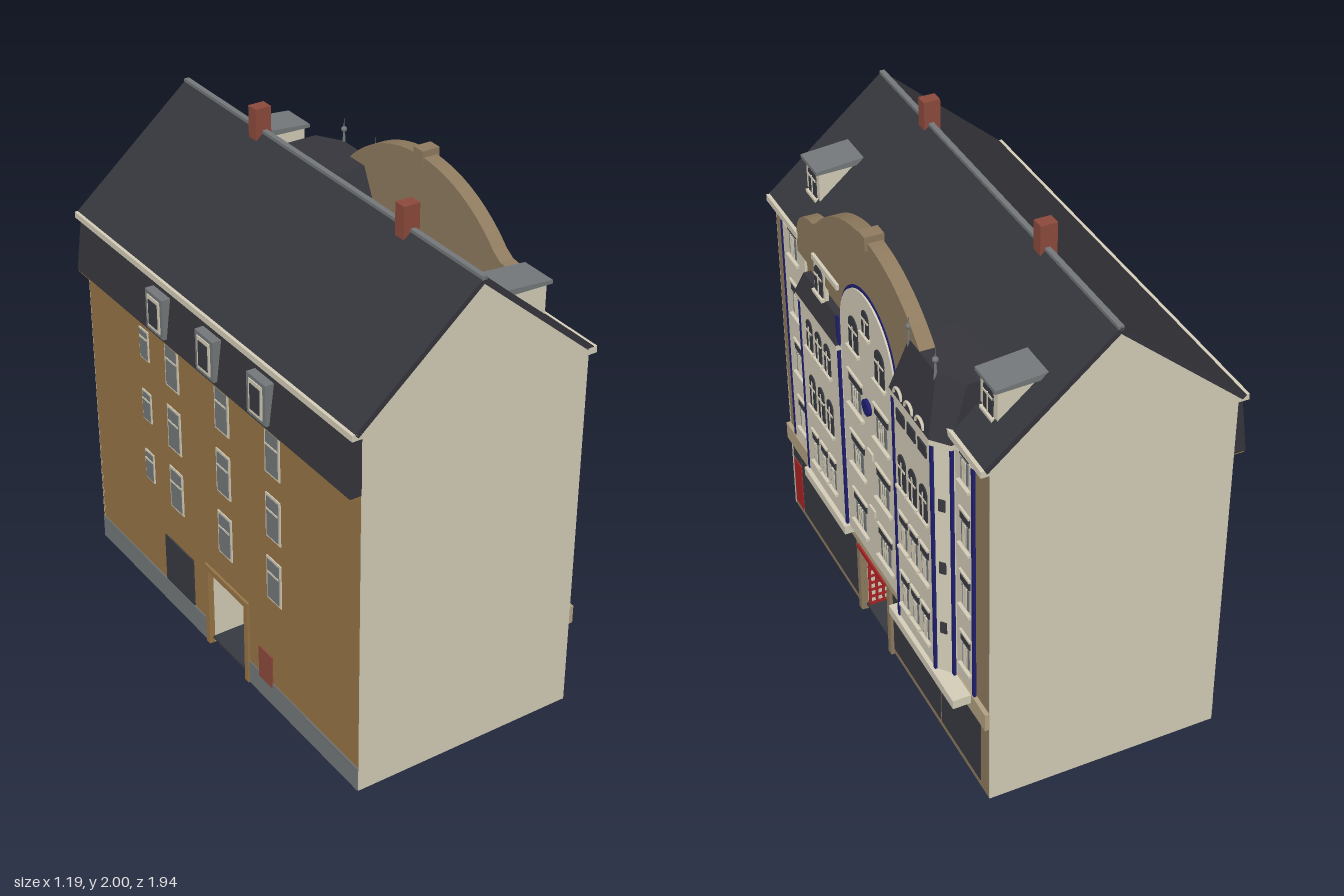
import * as THREE from 'three';

const mat = (name, color, side = THREE.FrontSide) => {
  const m = new THREE.MeshStandardMaterial({ color, side });
  m.name = name;
  return m;
};

export function createModel() {
  const cream = mat('cream plaster', 0xd4cdb8), stone = mat('brown stone', 0x8f7b5f);
  const tan = mat('tan band', 0xb3a181), ochre = mat('ochre render', 0x977545);
  const slate = mat('slate', 0x35353c, THREE.DoubleSide), glass = mat('dark glass', 0x383a41);
  const grey = mat('grey metal', 0x74787a), blue = mat('blue trim', 0x1f1f70);
  const red = mat('red paint', 0xa82225), brick = mat('chimney brick', 0x8c4a3c);

  // Local frame: street front faces +z, x runs along the street
  const house = new THREE.Group();
  house.name = 'house';
  let target = house;
  const add = (name, geo, m) => {
    const mesh = new THREE.Mesh(geo, m);
    mesh.name = name;
    target.add(mesh);
    return mesh;
  };
  const box = (name, m, x0, x1, y0, y1, z0, z1) =>
    add(name, new THREE.BoxGeometry(x1 - x0, y1 - y0, z1 - z0)
      .translate((x0 + x1) / 2, (y0 + y1) / 2, (z0 + z1) / 2), m);
  const shapeOf = pts => new THREE.Shape(pts.map(p => new THREE.Vector2(p[0], p[1])));
  const slab = (name, m, shape, z0, z1) =>
    add(name, new THREE.ExtrudeGeometry(shape, { depth: z1 - z0, bevelEnabled: false, curveSegments: 16 })
      .translate(0, 0, z0), m);
  // Profile given as (z, y), swept along x
  const sweep = (name, m, pts, x0, x1) =>
    add(name, new THREE.ExtrudeGeometry(shapeOf(pts), { depth: x1 - x0, bevelEnabled: false })
      .rotateY(-Math.PI / 2).translate(x1, 0, 0), m);
  // Plan given as (x, z), raised along y
  const plan = (name, m, pts, y0, y1) =>
    add(name, new THREE.ExtrudeGeometry(shapeOf(pts.map(p => [p[0], -p[1]])), { depth: y1 - y0, bevelEnabled: false })
      .rotateX(-Math.PI / 2).translate(0, y0, 0), m);
  // Faceted roof between two plan loops
  const loft = (name, m, low, y0, high, y1) => {
    const a = low.map(p => [p[0], y0, p[1]]), b = high.map(p => [p[0], y1, p[1]]), v = [];
    a.forEach((p, i) => {
      const j = (i + 1) % a.length;
      v.push(...p, ...a[j], ...b[j], ...p, ...b[j], ...b[i]);
      if (i > 1) v.push(...b[0], ...b[i - 1], ...b[i]);
    });
    const g = new THREE.BufferGeometry();
    g.setAttribute('position', new THREE.Float32BufferAttribute(v, 3));
    g.computeVertexNormals();
    add(name, g, m);
  };
  const arch = (x, hw, y0, spring) => {
    const s = new THREE.Shape();
    s.moveTo(x - hw, y0);
    s.lineTo(x + hw, y0);
    s.lineTo(x + hw, spring);
    s.absarc(x, spring, hw, 0, Math.PI, false);
    return s;
  };
  const inGroup = (name, fn) => {
    const g = new THREE.Group(), old = target;
    g.name = name;
    old.add(g);
    target = g;
    fn();
    target = old;
    return g;
  };

  // Walls with the gateway cut through
  const G0 = -0.185, G1 = 0.07, GT = 0.34;
  const wallShape = top => shapeOf([[-0.925, 0], [G0, 0], [G0, GT], [G1, GT], [G1, 0], [0.925, 0], [0.925, top], [-0.925, top]]);
  slab('frontWall', stone, wallShape(1.49), 0.422, 0.435);
  slab('backWall', ochre, wallShape(1.49), -0.48, -0.467);
  const gable = [[-0.48, 0], [0.435, 0], [0.435, 1.49], [-0.02, 1.89], [-0.48, 1.49]];
  sweep('endWall', cream, gable, -0.928, -0.915);
  sweep('endWall', cream, gable, 0.915, 0.928);

  // Passage
  box('passageWall', cream, G0 - 0.01, G0, 0, GT, -0.467, 0.422);
  box('passageWall', cream, G1, G1 + 0.01, 0, GT, -0.467, 0.422);
  box('passageCeiling', cream, G0, G1, GT, GT + 0.01, -0.467, 0.422);
  box('passageFloor', glass, G0, G1, 0.02, 0.03, -0.475, 0.43);
  box('passageDoor', glass, G0, G0 + 0.005, 0.03, 0.25, 0.0, 0.14);
  box('passageHatch', glass, G1 + 0.01, G1 + 0.015, 0.12, 0.22, 0.05, 0.17);
  for (const x of [G0 + 0.012, G1 - 0.018]) inGroup('gateLeaf', () => {
    for (let i = 0; i < 6; i++) box('gateBar', red, x, x + 0.006, 0.03, 0.32, 0.275 + i * 0.028, 0.285 + i * 0.028);
    for (let j = 0; j < 9; j++) box('gateRail', red, x, x + 0.006, 0.03 + j * 0.035, 0.04 + j * 0.035, 0.275, 0.425);
  });
  box('gateLintel', red, G0, G1, 0.328, 0.346, 0.42, 0.46);

  // Shop fronts
  for (const [a, b] of [[-0.815, -0.24], [0.1, 0.52], [0.532, 0.86]]) box('shopWindow', glass, a, b, 0.03, 0.338, 0.432, 0.438);
  box('shopDoor', red, -0.9, -0.825, 0.03, 0.252, 0.432, 0.439);
  box('doorLight', glass, -0.9, -0.825, 0.262, 0.336, 0.432, 0.438);
  for (const x of [G0 - 0.03, G1]) box('gatePier', stone, x, x + 0.028, 0, 0.345, 0.43, 0.45);
  box('streetBand', tan, -0.927, 0.927, 0.345, 0.42, 0.43, 0.452);

  // Roof
  sweep('mainRoof', slate, [[-0.51, 1.49], [-0.02, 1.91], [0.455, 1.505], [0.445, 1.485], [-0.02, 1.885], [-0.495, 1.475]], -0.93, 0.93);
  box('ridgeCap', grey, -0.93, 0.93, 1.898, 1.914, -0.03, -0.01);
  sweep('rearMansard', slate, [[-0.48, 1.48], [-0.495, 1.48], [-0.525, 1.25], [-0.48, 1.25]], -0.928, 0.928);
  box('rearSoffit', ochre, -0.925, 0.925, 1.243, 1.25, -0.522, -0.48);
  box('rearCornice', cream, -0.93, 0.93, 1.468, 1.492, -0.52, -0.48);
  for (const x of [-0.514, 0.4]) box('chimney', brick, x - 0.025, x + 0.025, 1.86, 2, -0.057, 0.007);

  // Windows: square ones have a transom over a barred pane, arched ones are dark
  const squareWindow = (x, y, w, h, z) => inGroup('window', () => {
    box('transom', glass, x - w / 2, x + w / 2, y + h - 0.034, y + h, z, z + 0.005);
    box('pane', grey, x - w * 0.38, x + w * 0.38, y + 0.01, y + h - 0.045, z, z + 0.003);
    for (const k of [-0.16, 0, 0.16]) box('bar', cream, x + w * k - 0.004, x + w * k + 0.004, y + 0.01, y + h - 0.045, z, z + 0.006);
    box('sill', cream, x - w * 0.62, x + w * 0.62, y - 0.012, y, z, z + 0.014);
    box('hood', cream, x - w * 0.58, x + w * 0.58, y + h + 0.003, y + h + 0.013, z, z + 0.009);
  });
  const archWindow = (x, y, w, h, z) => inGroup('archedWindow', () => {
    slab('pane', glass, arch(x, w / 2, y, y + h - w / 2), z, z + 0.004);
    box('mullion', cream, x - 0.003, x + 0.003, y, y + h - w / 2, z, z + 0.007);
    box('crossbar', cream, x - w / 2, x + w / 2, y + h * 0.58, y + h * 0.58 + 0.008, z, z + 0.007);
    box('sill', cream, x - w * 0.65, x + w * 0.65, y - 0.012, y, z, z + 0.014);
  });
  const rows = [0.505, 0.78, 1.055, 1.325];
  const pipe = (x, y0, y1, z) => box('bluePipe', blue, x - 0.007, x + 0.007, y0, y1, z, z + 0.01);

  // Outer bays of the front
  box('leftPanel', cream, -0.84, -0.62, 0.42, 1.43, 0.43, 0.445);
  box('rightPanel', cream, 0.66, 0.82, 0.42, 1.43, 0.43, 0.445);
  pipe(-0.842, 0.42, 1.43, 0.438);
  pipe(0.822, 0.42, 1.43, 0.438);
  for (const y of rows) {
    squareWindow(-0.73, y, 0.085, 0.145, 0.445);
    squareWindow(0.765, y, 0.07, 0.145, 0.445);
  }
  box('leftEaves', cream, -0.93, -0.63, 1.477, 1.503, 0.43, 0.468);
  box('rightEaves', cream, 0.62, 0.93, 1.477, 1.503, 0.43, 0.468);

  // Shaped gable
  const crown = new THREE.Shape();
  crown.moveTo(-0.64, 1.42);
  crown.lineTo(-0.64, 1.5);
  crown.quadraticCurveTo(-0.62, 1.62, -0.47, 1.63);
  crown.lineTo(-0.43, 1.655);
  crown.absarc(0.02, 1.217, 0.628, 2.37, 0.795, true);
  crown.lineTo(0.46, 1.42);
  slab('shapedGable', stone, crown, 0.405, 0.462);
  box('keystone', stone, -0.008, 0.048, 1.815, 1.87, 0.4, 0.474);

  // Centre panel with blue edging
  slab('centreEdging', blue, arch(0.02, 0.248, 0.42, 1.377), 0.43, 0.465);
  slab('centrePanel', cream, arch(0.02, 0.236, 0.42, 1.377), 0.43, 0.472);
  add('blueRoundel', new THREE.CylinderGeometry(0.032, 0.032, 0.014, 20).rotateX(Math.PI / 2).translate(0.02, 1.145, 0.478), blue);
  for (const x of [-0.09, 0.14]) {
    rows.slice(0, 3).forEach(y => squareWindow(x, y, 0.115, 0.143, 0.472));
    archWindow(x, 1.325, 0.08, 0.14, 0.472);
  }
  archWindow(0.025, 1.46, 0.06, 0.1, 0.472);
  for (const y of [0.66, 0.925]) box('ornament', cream, 0.005, 0.055, y, y + 0.03, 0.472, 0.48);

  // Left oriel
  box('orielBase', cream, -0.625, -0.215, 0.382, 0.42, 0.43, 0.495);
  box('oriel', cream, -0.615, -0.24, 0.42, 1.24, 0.43, 0.477);
  box('orielCornice', cream, -0.625, -0.228, 1.235, 1.258, 0.43, 0.488);
  loft('orielRoof', slate, [[-0.625, 0.43], [-0.625, 0.49], [-0.228, 0.49], [-0.228, 0.43]], 1.258,
    [[-0.585, 0.43], [-0.585, 0.464], [-0.27, 0.464], [-0.27, 0.43]], 1.355);
  pipe(-0.615, 0.42, 1.235, 0.47);
  pipe(-0.235, 0.42, 1.38, 0.47);
  for (const x of [-0.52, -0.432, -0.346]) {
    squareWindow(x, rows[0], 0.058, 0.145, 0.477);
    archWindow(x, rows[1], 0.056, 0.15, 0.477);
    archWindow(x, rows[2], 0.056, 0.13, 0.477);
  }
  box('atticPanel', cream, -0.468, -0.372, 1.355, 1.495, 0.45, 0.466);
  archWindow(-0.42, 1.362, 0.07, 0.12, 0.466);
  box('atticCornice', cream, -0.47, -0.235, 1.488, 1.51, 0.45, 0.474);

  // Right bay tower
  const bay = [[0.27, 0.43], [0.27, 0.46], [0.325, 0.505], [0.635, 0.505], [0.69, 0.46], [0.69, 0.43]];
  box('towerBase', cream, 0.265, 0.815, 0.382, 0.42, 0.43, 0.522);
  plan('towerBay', cream, bay, 0.42, 1.43);
  const eave = [[0.258, 0.34], [0.258, 0.465], [0.32, 0.517], [0.64, 0.517], [0.702, 0.465], [0.702, 0.34]];
  plan('towerCornice', cream, eave, 1.425, 1.447);
  loft('towerRoof', slate, eave, 1.447,
    [[0.36, 0.25], [0.365, 0.43], [0.375, 0.462], [0.587, 0.462], [0.69, 0.4], [0.69, 0.25]], 1.665);
  for (const [x, z] of [[0.262, 0.455], [0.325, 0.5], [0.635, 0.5], [0.695, 0.455]]) pipe(x, 0.42, 1.425, z);
  for (const x of [0.39, 0.478, 0.566]) {
    squareWindow(x, rows[0], 0.062, 0.145, 0.505);
    squareWindow(x, rows[1], 0.062, 0.145, 0.505);
    archWindow(x, rows[2], 0.06, 0.145, 0.505);
    box('topPane', glass, x - 0.032, x + 0.032, 1.335, 1.385, 0.505, 0.51);
    add('scallop', new THREE.TorusGeometry(0.03, 0.006, 6, 12, Math.PI).translate(x, 1.455, 0.515), cream);
  }
  for (const s of [-1, 1]) for (const y of rows) {
    const p = add('sidePane', new THREE.BoxGeometry(0.025, 0.05, 0.006), glass);
    p.position.set(0.48 + s * 0.1835, y + 0.12, 0.4835);
    p.rotation.y = s * 0.685;
  }
  for (const x of [0.377, 0.585]) {
    add('finial', new THREE.ConeGeometry(0.008, 0.13, 8).translate(x, 1.7, 0.462), grey);
    add('finialBall', new THREE.SphereGeometry(0.012, 8, 6).translate(x, 1.715, 0.462), grey);
  }

  // Roof dormers
  for (const x of [-0.722, 0.757]) inGroup('dormer', () => {
    box('dormerBody', cream, x - 0.062, x + 0.062, 1.56, 1.72, 0.18, 0.355);
    sweep('dormerCap', grey, [[0.165, 1.74], [0.37, 1.722], [0.37, 1.708], [0.165, 1.715]], x - 0.075, x + 0.075);
    archWindow(x, 1.59, 0.07, 0.115, 0.355);
  });

  // Rear side
  const rear = (name, m, x, y, w, h, d) => box(name, m, x - w / 2, x + w / 2, y - h / 2, y + h / 2, -0.48 - d, -0.478);
  for (const x of [0.5, 0.296, -0.055, -0.39]) for (const y of [0.575, 0.845, 1.115]) {
    const s = x === 0.5 ? 0.7 : 1;
    rear('rearFrame', cream, x, y, 0.095 * s, 0.185 * s, 0.004);
    rear('rearPane', grey, x, y, 0.075 * s, 0.165 * s, 0.007);
    rear('rearCrossbar', cream, x, y + 0.03, 0.075 * s, 0.008, 0.009);
  }
  for (const x of [0.31, -0.04, -0.38]) inGroup('rearSkylight', () => {
    box('skylightFrame', grey, x - 0.06, x + 0.06, 1.27, 1.43, -0.537, -0.48);
    box('skylightTrim', cream, x - 0.042, x + 0.042, 1.285, 1.415, -0.541, -0.53);
    box('skylightPane', glass, x - 0.03, x + 0.03, 1.3, 1.4, -0.544, -0.535);
  });
  rear('rearShutter', glass, 0.295, 0.21, 0.21, 0.21, 0.006);
  rear('rearHatch', brick, -0.325, 0.15, 0.09, 0.14, 0.006);
  for (const [a, b] of [[-0.925, G0 - 0.025], [G1 + 0.025, 0.925]]) box('plinth', grey, a, b, 0, 0.1, -0.484, -0.478);
  box('rearGateJamb', ochre, G0 - 0.025, G0, 0, 0.365, -0.49, -0.47);
  box('rearGateJamb', ochre, G1, G1 + 0.025, 0, 0.365, -0.49, -0.47);
  box('rearGateLintel', ochre, G0, G1, GT, 0.365, -0.49, -0.47);

  house.rotation.y = THREE.MathUtils.degToRad(85);
  const model = new THREE.Group();
  model.name = 'townhouse';
  model.add(house);
  return model;
}
